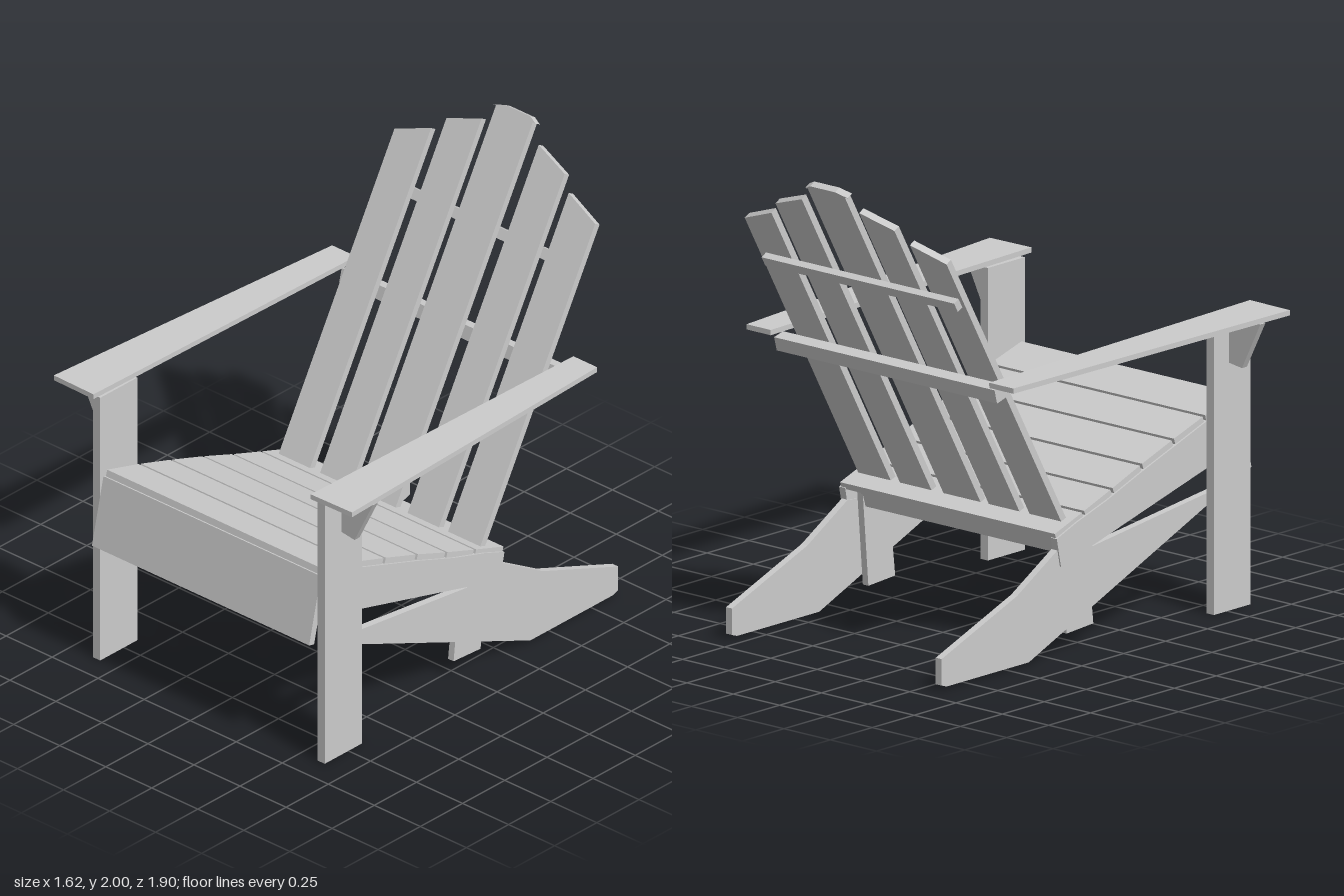
import * as THREE from 'three';

const wood = new THREE.MeshStandardMaterial({ color: 0xcccccc, flatShading: true });

// Flat board cut from an outline, extruded along +z by depth
function cut(points, depth) {
  const shape = new THREE.Shape(points.map(([a, b]) => new THREE.Vector2(a, b)));
  return new THREE.ExtrudeGeometry(shape, { depth, bevelEnabled: false });
}

// Board with a side outline given as [z, y], filling x0..x1
function sideBoard(points, x0, x1) {
  return cut(points, x1 - x0).rotateY(-Math.PI / 2).translate(x1, 0, 0);
}

export function createModel() {
  const model = new THREE.Group();

  function add(name, geometry, parent = model) {
    const mesh = new THREE.Mesh(geometry, wood);
    mesh.name = name;
    parent.add(mesh);
    return mesh;
  }
  function box(name, w, h, d, x, y, z, tilt = 0) {
    const mesh = add(name, new THREE.BoxGeometry(w, h, d));
    mesh.position.set(x, y, z);
    mesh.rotation.x = tilt;
    return mesh;
  }

  // Side frames, mirrored left and right
  const railOutline = [[0.86, 0.845], [0.67, 0.795], [0.3, 0.67], [0.08, 0.59], [-0.1, 0.535],
    [-0.22, 0.49], [-0.195, 0.37], [0.67, 0.6], [0.9, 0.66]];
  const rearLegOutline = [[0.72, 0.5], [0, 0.415], [-0.21, 0.44], [-0.45, 0.3], [-0.9, 0.13],
    [-0.9, 0.02], [-0.87, 0.01], [-0.38, 0.01], [0.72, 0.46]];
  const stubLegOutline = [[0.04, 0.08], [-0.12, 0.07], [-0.155, 0.48], [-0.01, 0.52]];
  for (const [side, s] of [['left', 1], ['right', -1]]) {
    const span = (points, a, b) => sideBoard(points, Math.min(s * a, s * b), Math.max(s * a, s * b));

    box(side + 'FrontLeg', 0.04, 1.215, 0.22, s * 0.61, 0.6075, 0.78);
    add(side + 'SeatRail', span(railOutline, 0.555, 0.588));
    add(side + 'RearLeg', span(rearLegOutline, 0.55, 0.582));
    add(side + 'MiddleLeg', span(stubLegOutline, 0.52, 0.55));

    // Tapered armrest, lying flat with a slight backward slope
    const arm = add(side + 'Armrest', cut(
      [[0.59, -0.93], [0.81, -0.925], [0.72, 0.625], [0.59, 0.625]].map(([x, y]) => [s * x, y]), 0.022
    ).rotateX(-Math.PI / 2));
    arm.position.y = 1.211;
    arm.rotation.x = -0.016;

    // Bracket under the armrest
    const bracket = add(side + 'ArmBracket', cut(
      [[0.63, 1.22], [0.8, 1.22], [0.7, 1.02], [0.63, 1.03]].map(([x, y]) => [s * x, y]), 0.03));
    bracket.position.z = 0.76;
  }

  // Front apron, square to the sloping rails
  box('frontApron', 1.18, 0.3, 0.03, 0, 0.695, 0.89, -0.23);

  // Seat slats following the sloping top of the rails
  const seatLine = [[0.87, 0.877], [0.67, 0.82], [0.485, 0.76], [0.295, 0.695], [0.12, 0.63],
    [-0.05, 0.57], [-0.225, 0.51]];
  for (let i = 0; i < seatLine.length - 1; i++) {
    const [z0, y0] = seatLine[i], [z1, y1] = seatLine[i + 1];
    const length = Math.hypot(z1 - z0, y1 - y0);
    box('seatSlat', 1.16, 0.028, length - 0.014, 0, (y0 + y1) / 2 - 0.015, (z0 + z1) / 2,
      -Math.atan2(y0 - y1, z0 - z1));
  }

  // Brace between the middle legs
  box('rearBrace', 1.06, 0.12, 0.03, 0, 0.465, -0.14, -0.3);

  // Reclined backrest: five slats with angled tops
  const recline = -0.515;
  const back = new THREE.Group();
  back.name = 'backrest';
  back.position.set(0, 0.535, -0.105);
  back.rotation.x = recline;
  model.add(back);
  const run = (y) => (y - 0.535) / Math.cos(recline);
  // [left x, right x, height at left, height at right]
  const slats = [[-0.54, -0.37, 1.76, 1.815], [-0.315, -0.15, 1.87, 1.92], [-0.105, 0.095, 1.985, 1.985],
    [0.16, 0.33, 1.92, 1.865], [0.38, 0.555, 1.81, 1.75]];
  for (const [a, b, ya, yb] of slats) {
    const slat = add('backSlat', cut([[a, 0], [b, 0], [b, run(yb)], [a, run(ya)]], 0.03), back);
    slat.position.z = -0.03;
  }
  const cap = add('backCap', cut([[-0.12, 0], [0.11, 0], [0.075, 0.018], [-0.06, 0.018]], 0.03), back);
  cap.position.set(0, run(1.983), -0.03);

  // Cross rails behind the backrest
  const upper = add('upperBackRail', new THREE.BoxGeometry(1.04, 0.045, 0.03), back);
  upper.position.set(0, run(1.575), -0.045);
  box('lowerBackRail', 1.19, 0.06, 0.055, 0, 1.165, -0.565, recline / 2);

  return model;
}
